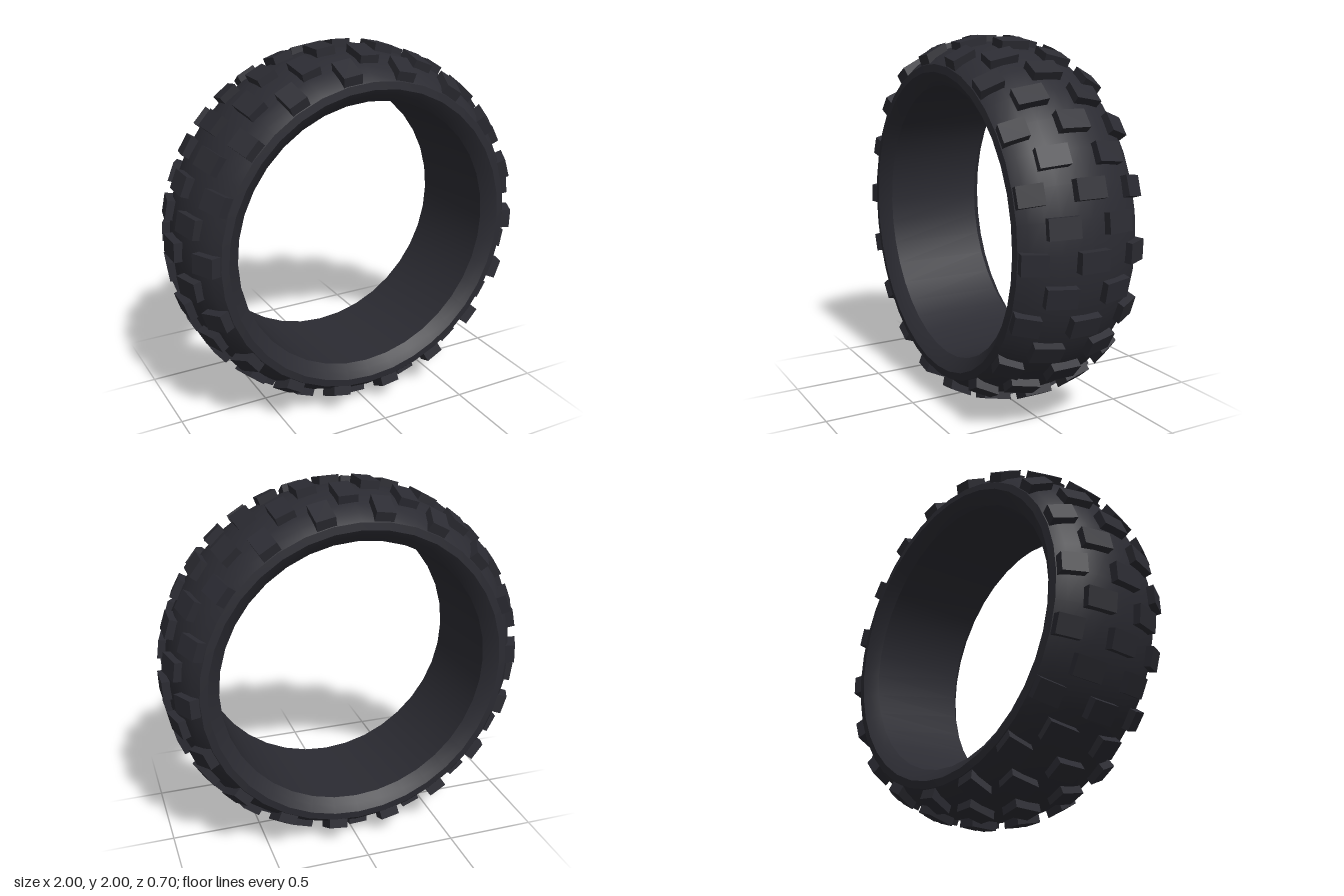
import * as THREE from 'three';
import { toCreasedNormals } from 'three/addons/utils/BufferGeometryUtils.js';

export function createModel() {
  const tire = new THREE.Group();
  tire.name = 'tire';
  const rubber = new THREE.MeshStandardMaterial({ color: 0x2b2b32 });
  rubber.name = 'darkRubber';

  const wheel = new THREE.Group();
  wheel.name = 'wheel';
  wheel.position.y = 1;
  tire.add(wheel);

  // Carcass: half profile as [radius, z], mirrored and closed through the bore
  const half = [[0.964, 0], [0.959, 0.08], [0.945, 0.16], [0.92, 0.235],
    [0.885, 0.3], [0.85, 0.34], [0.81, 0.345], [0.775, 0.32], [0.74, 0.285]];
  const back = half.slice(1).reverse().map(([r, z]) => [r, -z]);
  const profile = [...back, ...half, back[0]].map(([r, z]) => new THREE.Vector2(r, z));
  const carcassGeometry = toCreasedNormals(new THREE.LatheGeometry(profile, 36), 0.5);
  carcassGeometry.rotateX(Math.PI / 2);
  const carcass = new THREE.Mesh(carcassGeometry, rubber);
  carcass.name = 'carcass';
  wheel.add(carcass);

  // Tread block: cross-section in (z, radius), extruded along the tangent
  const width = 0.104;
  function blockGeometry(section, side) {
    const shape = new THREE.Shape(section.map(([z, r]) => new THREE.Vector2(z * side, r)));
    const g = new THREE.ExtrudeGeometry(shape, { depth: width, bevelEnabled: false });
    g.translate(0, 0, -width / 2);
    g.rotateY(-Math.PI / 2);
    return g;
  }

  // Evenly spaced ring of blocks, offset in degrees clockwise from the top
  function treadRow(name, section, side, offset) {
    const row = new THREE.Group();
    row.name = name;
    const g = blockGeometry(section, side);
    for (let i = 0; i < 18; i++) {
      const block = new THREE.Mesh(g, rubber);
      block.name = 'treadBlock';
      block.rotation.z = -THREE.MathUtils.degToRad(offset + i * 20);
      row.add(block);
    }
    wheel.add(row);
  }

  const centre = [[-0.08, 0.92], [0.08, 0.92], [0.08, 1], [-0.08, 1]];
  const middle = [[0.075, 0.92], [0.22, 0.89], [0.235, 0.962], [0.08, 0.998]];
  const shoulder = [[0.22, 0.89], [0.335, 0.845], [0.35, 0.9], [0.235, 0.96]];
  treadRow('centreTread', centre, 1, 12);
  for (const side of [1, -1]) {
    const label = side > 0 ? 'front' : 'back';
    treadRow(label + 'MiddleTread', middle, side, 2);
    treadRow(label + 'ShoulderTread', shoulder, side, 12);
  }
  return tire;
}
